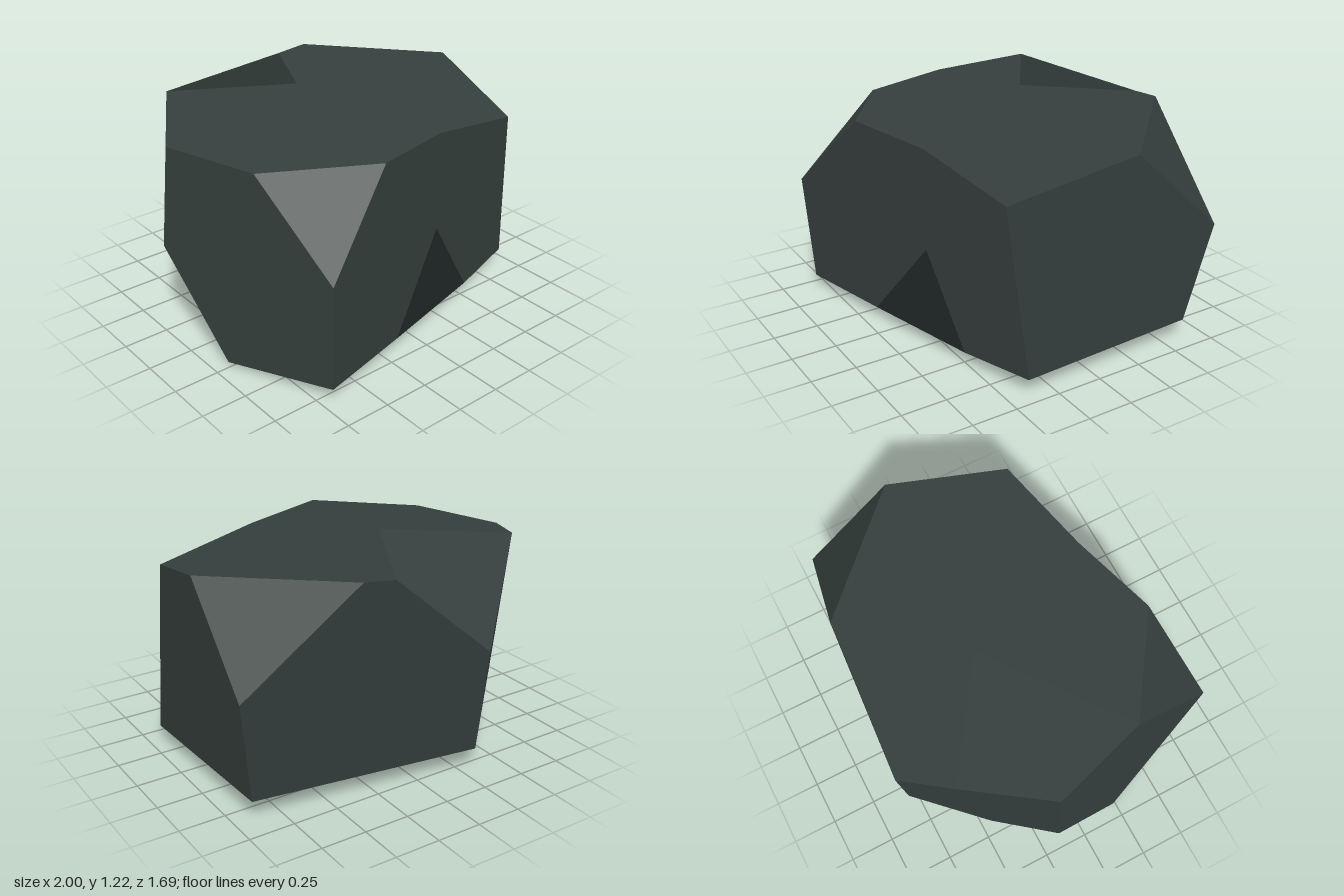
import * as THREE from 'three';

// Corner points of the boulder
const P = {
  // upper rim
  topFrontLeft: [0.84, 1.0, 0.465], topFront: [0.22, 1.105, 0.56], topFrontRight: [-0.27, 1.13, 0.695],
  topRightFront: [-0.79, 1.1, 0.34], topRight: [-0.95, 1.1, -0.19], topBackRight: [-0.68, 1.2, -0.615],
  topBack: [0.2, 1.17, -0.8], topBackLeft: [0.38, 1.19, -0.79], topLeft: [0.975, 1.165, -0.2],
  peak: [-0.1, 1.22, -0.225],
  // middle
  midFrontRight: [-0.715, 0.68, 0.845], midRight: [-1.0, 0.55, -0.2], midBack: [-0.37, 0.68, -0.845],
  midBackLeft: [1.0, 0.69, -0.7], chipTop: [0.225, 0.55, 0.56],
  // lower rim
  lowFrontRight: [-0.69, 0.07, 0.81], chipRight: [-0.15, 0.07, 0.68], chipLeft: [0.52, 0.07, 0.51],
  lowFrontLeft: [0.935, 0.09, 0.39], lowBackLeft: [0.91, 0.11, -0.62], lowBack: [-0.34, 0.11, -0.805],
  lowBackRight: [-0.69, 0.1, -0.45], lowRight: [-0.92, 0.02, 0.235], foot: [-0.03, 0, -0.035],
};

// Each facet is a loop of corners, fanned from its first corner; "|" adds a second loop
const FACETS = {
  topFace: 'peak topBack topBackLeft topLeft topFrontLeft topFront topRightFront topRight topBackRight'
    + ' | topFront topFrontRight topRightFront',
  frontFace: 'chipTop chipLeft lowFrontLeft topFrontLeft topFront topFrontRight midFrontRight lowFrontRight chipRight',
  leftFace: 'topFrontLeft lowFrontLeft lowBackLeft midBackLeft topLeft',
  backFace: 'midBack topBack topBackLeft midBackLeft lowBackLeft lowBack',
  backRightFace: 'topBackRight topRight midRight lowBackRight lowBack midBack',
  rightFace: 'midFrontRight lowFrontRight lowRight midRight topRight topRightFront',
  underside: 'foot chipLeft lowFrontLeft lowBackLeft lowBack lowBackRight lowFrontRight chipRight'
    + ' | lowBackRight lowRight lowFrontRight',
  frontRightBevel: 'topFrontRight topRightFront midFrontRight',
  backLeftBevel: 'topLeft midBackLeft topBackLeft',
  lowerRightBevel: 'midRight lowRight lowBackRight',
  backBevel: 'topBackRight midBack topBack peak',
  frontChip: 'chipRight foot chipLeft chipTop',
};

// One shared normal per facet, turned outward from the middle of the stone
function facetGeometry(names) {
  const loops = names.split(' | ').map((part) => part.split(' ').map((n) => new THREE.Vector3(...P[n])));
  const normal = new THREE.Vector3();
  for (const loop of loops) {
    loop.forEach((p, i) => normal.add(p.clone().cross(loop[(i + 1) % loop.length])));
  }
  normal.normalize();
  const centre = new THREE.Vector3();
  loops[0].forEach((p) => centre.addScaledVector(p, 1 / loops[0].length));
  const inward = normal.dot(centre.sub(new THREE.Vector3(0, 0.6, 0))) < 0;
  if (inward) normal.negate();

  const points = [];
  for (const loop of loops) {
    for (let i = 1; i < loop.length - 1; i++) {
      const [b, c] = inward ? [loop[i + 1], loop[i]] : [loop[i], loop[i + 1]];
      points.push(loop[0], b, c);
    }
  }
  const geometry = new THREE.BufferGeometry().setFromPoints(points);
  const normals = points.flatMap(() => normal.toArray());
  geometry.setAttribute('normal', new THREE.Float32BufferAttribute(normals, 3));
  return geometry;
}

export function createModel() {
  const stone = new THREE.MeshStandardMaterial({ color: 0x343e3c });
  stone.name = 'darkStone';
  const boulder = new THREE.Group();
  boulder.name = 'boulder';
  for (const [name, names] of Object.entries(FACETS)) {
    const mesh = new THREE.Mesh(facetGeometry(names), stone);
    mesh.name = name;
    boulder.add(mesh);
  }
  return boulder;
}
